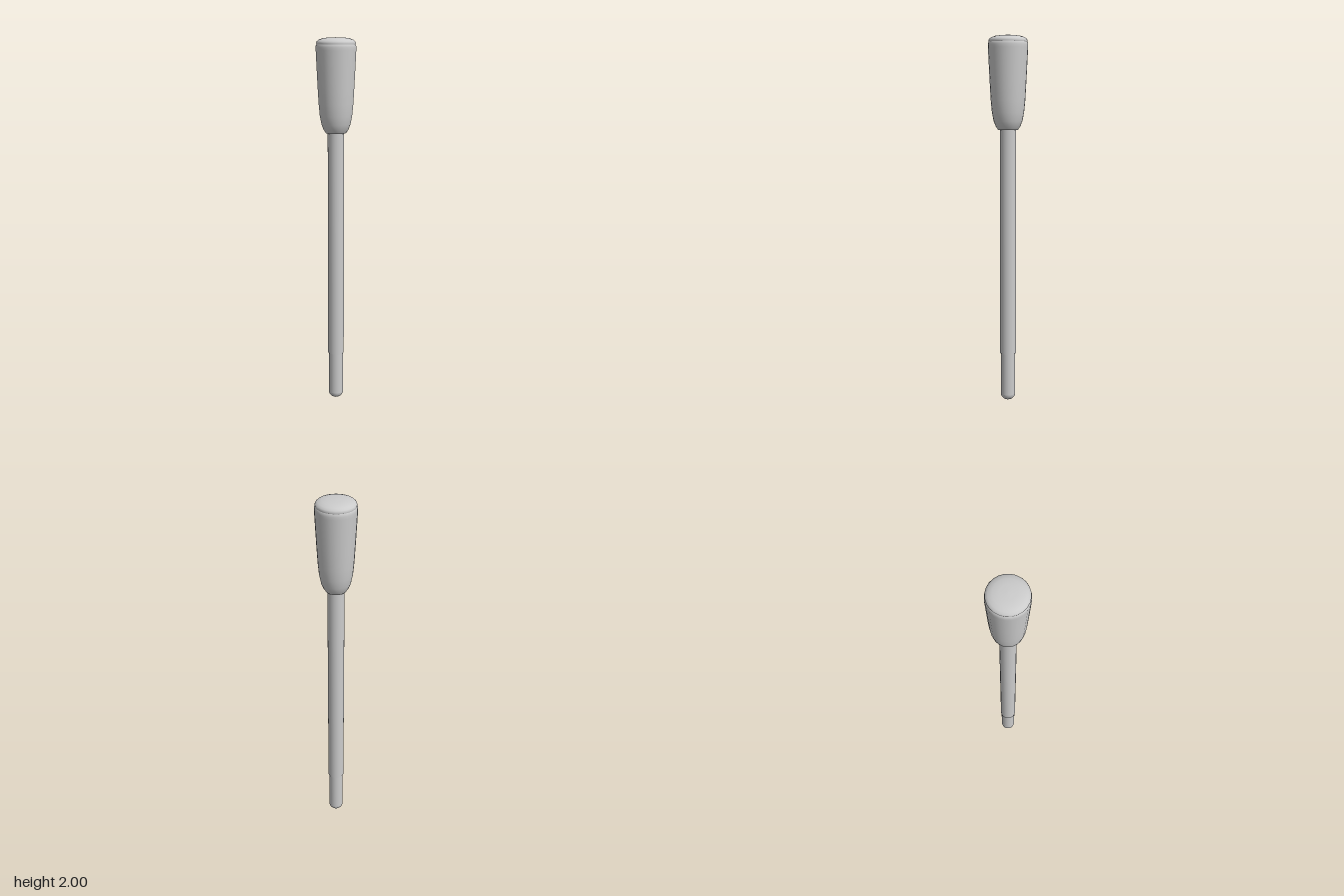
import * as THREE from 'three';

const SIDES = 24;

// Revolves [radius, height] pairs, listed from bottom to top, around the y axis
function turned(name, profile, material) {
  const points = profile.map(([r, y]) => new THREE.Vector2(r, y));
  const mesh = new THREE.Mesh(new THREE.LatheGeometry(points, SIDES), material);
  mesh.name = name;
  return mesh;
}

export function createModel() {
  const material = new THREE.MeshStandardMaterial({ color: 0xcccccc });
  const model = new THREE.Group();
  model.name = 'handledRod';

  // Rod: slimmer lower end with a rounded tip, a small shoulder, then the main shaft
  const tip = [];
  for (let i = 0; i <= 6; i++) {
    const a = (i / 6) * Math.PI / 2;
    tip.push([0.04 * Math.sin(a), 0.034 * (1 - Math.cos(a))]);
  }
  const rod = new THREE.Group();
  rod.name = 'rod';
  rod.add(
    turned('roundedTip', tip, material),
    turned('lowerRod', [[0.04, 0.034], [0.04, 0.27]], material),
    turned('shoulder', [[0.04, 0.27], [0.044, 0.27]], material),
    turned('shaft', [[0.044, 0.27], [0.044, 1.53]], material),
  );

  // Handle: flat underside, tapered grip and a domed cap
  const handle = new THREE.Group();
  handle.name = 'handle';
  handle.add(
    turned('underside', [[0.04, 1.505], [0.054, 1.505]], material),
    turned('grip', [
      [0.054, 1.505], [0.066, 1.523], [0.077, 1.551], [0.086, 1.597],
      [0.092, 1.66], [0.097, 1.75], [0.102, 1.85], [0.106, 1.935],
      [0.1065, 1.95], [0.105, 1.96], [0.102, 1.965],
    ], material),
    turned('cap', [
      [0.102, 1.965], [0.1035, 1.972], [0.1, 1.98], [0.09, 1.988],
      [0.07, 1.995], [0.04, 1.999], [0, 2],
    ], material),
  );

  model.add(rod, handle);
  return model;
}
